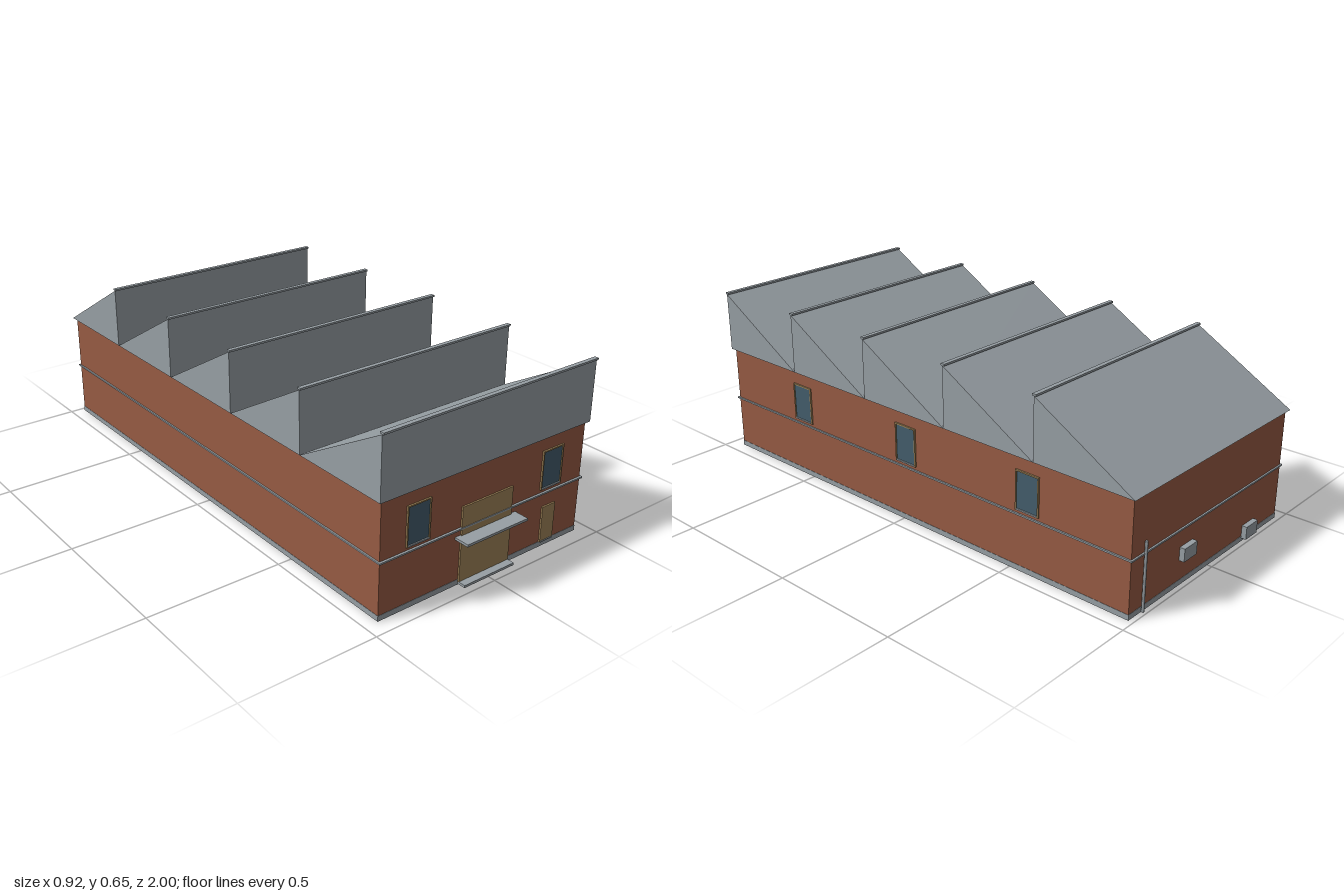
import * as THREE from 'three';

const mat = (name, color) => {
  const m = new THREE.MeshStandardMaterial({ color });
  m.name = name;
  return m;
};

export function createModel() {
  const brick = mat('brick', 0x975b43);
  const metal = mat('grey metal', 0x979fa4);
  const timber = mat('tan frame', 0xa08458);
  const glass = mat('blue glass', 0x435d6c);

  const model = new THREE.Group();
  model.name = 'factory';

  const W = 0.447, Z0 = -0.981, Z1 = 0.943; // wall limits
  const ZC = (Z0 + Z1) / 2, D = Z1 - Z0;

  const add = (parent, name, geometry, material) => {
    const mesh = new THREE.Mesh(geometry, material);
    mesh.name = name;
    parent.add(mesh);
    return mesh;
  };
  // Box given by its limits on each axis
  const box = (parent, name, material, x0, x1, y0, y1, z0, z1) => {
    const m = add(parent, name, new THREE.BoxGeometry(x1 - x0, y1 - y0, z1 - z0), material);
    m.position.set((x0 + x1) / 2, (y0 + y1) / 2, (z0 + z1) / 2);
    return m;
  };

  // Body
  box(model, 'walls', brick, -W, W, 0.02, 0.418, Z0, Z1);
  box(model, 'plinth', metal, -W - 0.001, W + 0.001, 0, 0.02, Z0 - 0.001, Z1 + 0.001);

  // String course around all four walls
  const band = new THREE.Group();
  band.name = 'stringCourse';
  model.add(band);
  for (const s of [-1, 1]) {
    const x = s * (W + 0.003);
    box(band, 'sideBand', metal, x - 0.003, x + 0.003, 0.206, 0.212, Z0 - 0.006, Z1 + 0.008);
    const z = s > 0 ? Z1 + 0.004 : Z0 - 0.003;
    const t = s > 0 ? 0.004 : 0.003;
    box(band, 'endBand', metal, -W, W, 0.206, 0.212, z - t, z + t);
  }

  // Sawtooth roof: vertical face to the front, slope falling to the back
  const R = 0.4595, pitch = 0.389;
  const tooth = new THREE.Shape([
    new THREE.Vector2(0, 0), new THREE.Vector2(pitch, 0), new THREE.Vector2(0, 0.224),
  ]);
  const toothGeo = new THREE.ExtrudeGeometry(tooth, { depth: 2 * R, bevelEnabled: false });
  toothGeo.translate(0, 0, -R).rotateY(Math.PI / 2);
  for (let i = 0; i < 5; i++) {
    const z = 0.953 - i * pitch;
    add(model, 'roofTooth', toothGeo, metal).position.set(0, 0.418, z);
    box(model, 'ridgeCap', metal, -R, R, 0.642, 0.649, z - 0.009, z + 0.007);
  }

  // Window: frame, pane and sill, facing +z
  const makeWindow = () => {
    const g = new THREE.Group();
    g.name = 'window';
    const w = 0.0485, h = 0.072, b = 0.005;
    const rect = (P, x, y) => new P([[-x, -y], [x, -y], [x, y], [-x, y]].map(p => new THREE.Vector2(...p)));
    const shape = rect(THREE.Shape, w, h);
    shape.holes.push(rect(THREE.Path, w - b, h - b));
    add(g, 'windowFrame', new THREE.ExtrudeGeometry(shape, { depth: 0.006, bevelEnabled: false }), timber);
    box(g, 'pane', glass, -w + b, w - b, -h + b, h - b, 0, 0.003);
    box(g, 'sill', metal, -w + b, w - b, -h + 0.001, -h + b + 0.001, 0, 0.0075);
    model.add(g);
    return g;
  };
  for (const x of [-0.296, 0.296]) makeWindow().position.set(x, 0.296, Z1);
  for (let i = -1; i <= 1; i++) {
    const g = makeWindow();
    g.position.set(W, 0.296, ZC + i * 0.5545);
    g.rotation.y = Math.PI / 2;
  }

  // Front entrances
  box(model, 'loadingDoor', timber, -0.112, 0.112, 0.01, 0.286, Z1, Z1 + 0.006);
  box(model, 'doorStep', metal, -0.112, 0.112, 0.003, 0.012, Z1, 0.976);
  box(model, 'canopy', metal, -0.135, 0.135, 0.174, 0.183, Z1, 1);
  box(model, 'sideDoor', timber, 0.265, 0.326, 0.02, 0.155, Z1, Z1 + 0.006);
  box(model, 'sideDoorSill', metal, 0.268, 0.323, 0.019, 0.024, Z1, Z1 + 0.0075);

  // Back wall fittings
  box(model, 'upperVent', metal, 0.105, 0.178, 0.094, 0.142, -1, Z0);
  box(model, 'lowerVent', metal, -0.288, -0.215, 0.012, 0.06, -1, Z0);
  const pipe = add(model, 'drainPipe', new THREE.CylinderGeometry(0.005, 0.005, 0.25, 10), metal);
  pipe.position.set(0.38, 0.127, Z0 - 0.007);

  return model;
}
